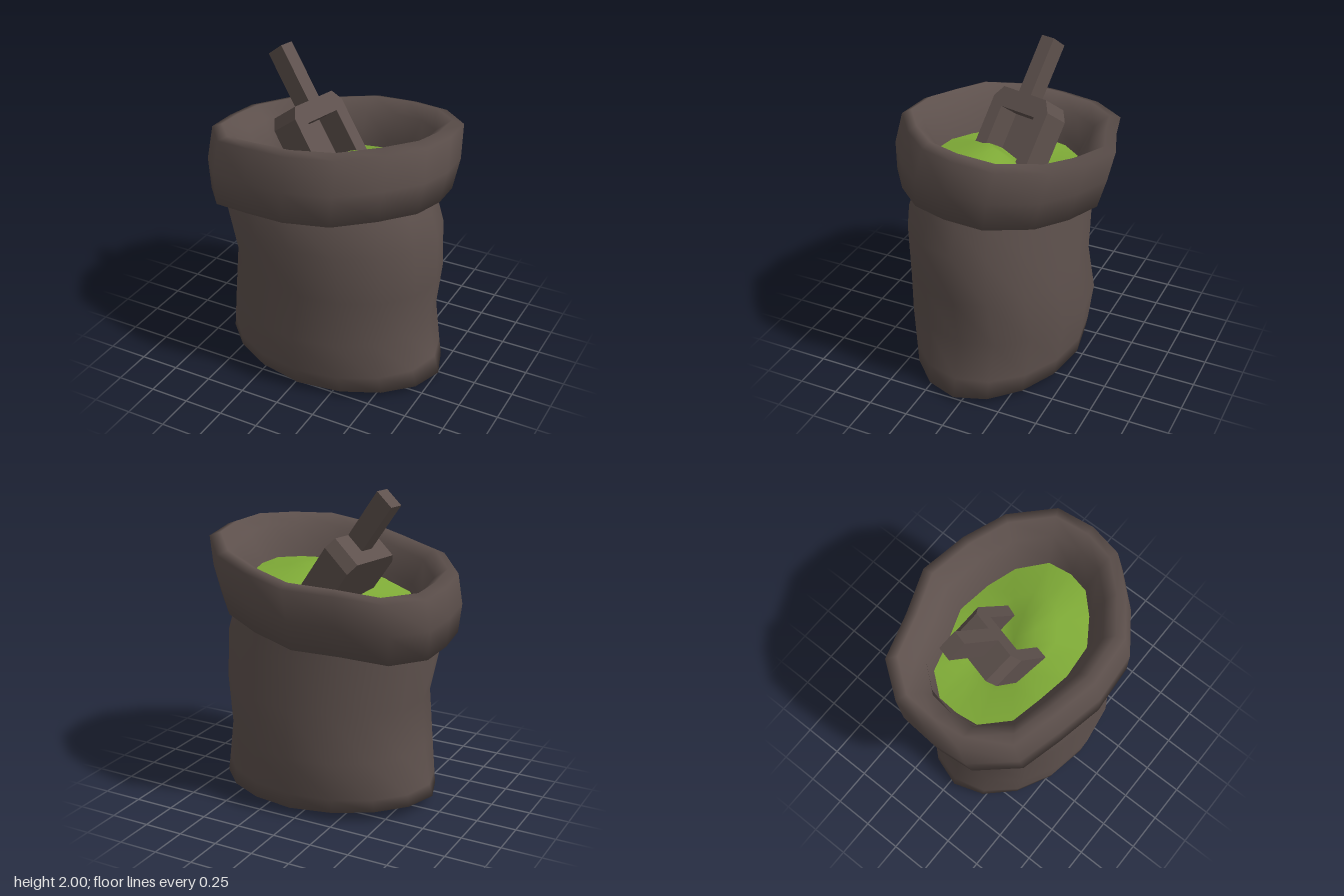
import * as THREE from 'three';

// Rim plan, counter-clockwise from the model's left side: [x, z]
const rimPlan = [[0.77, 0.04], [0.75, -0.21], [0.54, -0.45], [0.28, -0.57], [-0.02, -0.64], [-0.3, -0.54],
  [-0.59, -0.46], [-0.75, -0.24], [-0.77, 0], [-0.75, 0.24], [-0.55, 0.49], [-0.28, 0.57], [0.01, 0.64],
  [0.32, 0.62], [0.55, 0.45], [0.72, 0.26]];
const N = rimPlan.length;

// Skin over a list of rings, each an array of [x, y, z], with smooth normals
function loft(rings) {
  const index = [];
  const isPoint = (ring) => Math.hypot(ring[0][0] - ring[4][0], ring[0][2] - ring[4][2]) < 1e-6;
  for (let j = 0; j < rings.length - 1; j++) {
    for (let i = 0; i < N; i++) {
      const a = j * N + i, b = j * N + (i + 1) % N;
      if (!isPoint(rings[j])) index.push(a, b, a + N);
      if (!isPoint(rings[j + 1])) index.push(b, b + N, a + N);
    }
  }
  const geometry = new THREE.BufferGeometry();
  geometry.setAttribute('position', new THREE.Float32BufferAttribute(rings.flat(2), 3));
  geometry.setIndex(index);
  geometry.computeVertexNormals();
  return geometry;
}

// Oval ring fitted between the given limits; a larger power is squarer, drop lowers its left end
function bodyRing([y, x0, x1, z0, z1, power = 2.08, drop = 0]) {
  return Array.from({ length: N }, (_, i) => {
    const t = (i / N) * Math.PI * 2, c = Math.cos(t), s = -Math.sin(t);
    const k = Math.pow(Math.abs(c) ** power + Math.abs(s) ** power, -1 / power);
    return [(x0 + x1) / 2 + c * k * (x1 - x0) / 2, y - drop * c, (z0 + z1) / 2 + s * k * (z1 - z0) / 2];
  });
}

// Rim plan scaled, shifted in z and laid on a plane tilted like the mouth of the sack
function mouthRing([sx, sz, h, dz]) {
  return rimPlan.map(([x, z]) => [x * sx, 1.17 + h + 0.13 * x + 0.085 * z, z * sz + dz]);
}

export function createModel() {
  const model = new THREE.Group();
  const cloth = new THREE.MeshStandardMaterial({ color: 0x5e514d });
  cloth.name = 'brown';
  const green = new THREE.MeshStandardMaterial({ color: 0x7fab37 });
  green.name = 'green';
  const add = (parent, name, geometry, material) => {
    const mesh = new THREE.Mesh(geometry, material);
    mesh.name = name;
    parent.add(mesh);
  };

  // Sack body, from the underside up into the rolled rim
  add(model, 'sackBody', loft([
    [0.01, 0.03, 0.03, 0.05, 0.05],
    [0, -0.3, 0.36, -0.24, 0.34],
    [0.05, -0.68, 0.77, -0.48, 0.57, 1.85, 0.022],
    [0.15, -0.66, 0.74, -0.49, 0.58, 1.95],
    [0.4, -0.62, 0.69, -0.52, 0.61],
    [0.7, -0.6, 0.73, -0.48, 0.58],
    [1.02, -0.67, 0.73, -0.48, 0.61, 2],
    [1.2, -0.61, 0.67, -0.44, 0.55],
    [1.36, -0.58, 0.63, -0.46, 0.5],
  ].map(bodyRing)), cloth);

  // Rolled rim: underside, outer wall, rounded top, inner wall
  add(model, 'rolledRim', loft([
    [0.78, 0.76, 0.08, 0.04],
    [0.96, 0.94, 0, 0.05],
    [1, 0.98, 0.19, 0.02],
    [0.985, 0.975, 0.39, -0.03],
    [0.9, 0.88, 0.415, -0.02],
    [0.79, 0.75, 0.35, 0],
    [0.7, 0.63, 0.2, 0.01],
    [0.66, 0.59, 0.06, 0.01],
  ].map(mouthRing)), cloth);

  // Gently heaped contents
  add(model, 'contents', loft([
    [0.71, 0.65, 0.15, 0.01],
    [0.4, 0.36, 0.175, 0.01],
    [0.2, 0.18, 0.17, 0.01],
    [0.01, 0.01, 0.16, 0.01],
  ].map(mouthRing).map((ring, j) => j < 3 ? ring : ring.map(() => [0, 1.335, 0.01]))), green);

  // Scoop: local x across, y up the handle, z out of the open side
  const scoop = new THREE.Group();
  scoop.name = 'scoop';
  const yaw = new THREE.Matrix4().makeRotationY(-0.25);
  const tilt = new THREE.Matrix4().makeBasis(
    new THREE.Vector3(0, 0, -1), new THREE.Vector3(-0.6, 0.8, 0), new THREE.Vector3(0.8, 0.6, 0));
  scoop.setRotationFromMatrix(yaw.multiply(tilt));
  scoop.position.set(-0.145, 1.705, -0.015);
  model.add(scoop);

  const extrude = (points, depth, z) => new THREE.ExtrudeGeometry(
    new THREE.Shape(points.map(([x, y]) => new THREE.Vector2(x, y))),
    { depth, bevelEnabled: false }).translate(0, 0, z);
  const outer = [[0.205, -0.56], [0.205, -0.07], [0.16, 0], [-0.16, 0], [-0.205, -0.07], [-0.205, -0.56]];
  const inner = [[-0.125, -0.56], [-0.125, -0.12], [0.125, -0.12], [0.125, -0.56]];
  add(scoop, 'scoopWalls', extrude([...outer, ...inner], 0.2, -0.2), cloth);
  add(scoop, 'scoopFloor', extrude(outer, 0.04, -0.22), cloth);
  add(scoop, 'scoopHandle', new THREE.BoxGeometry(0.09, 0.395, 0.135).translate(0, 0.17, -0.0675), cloth);

  return model;
}
